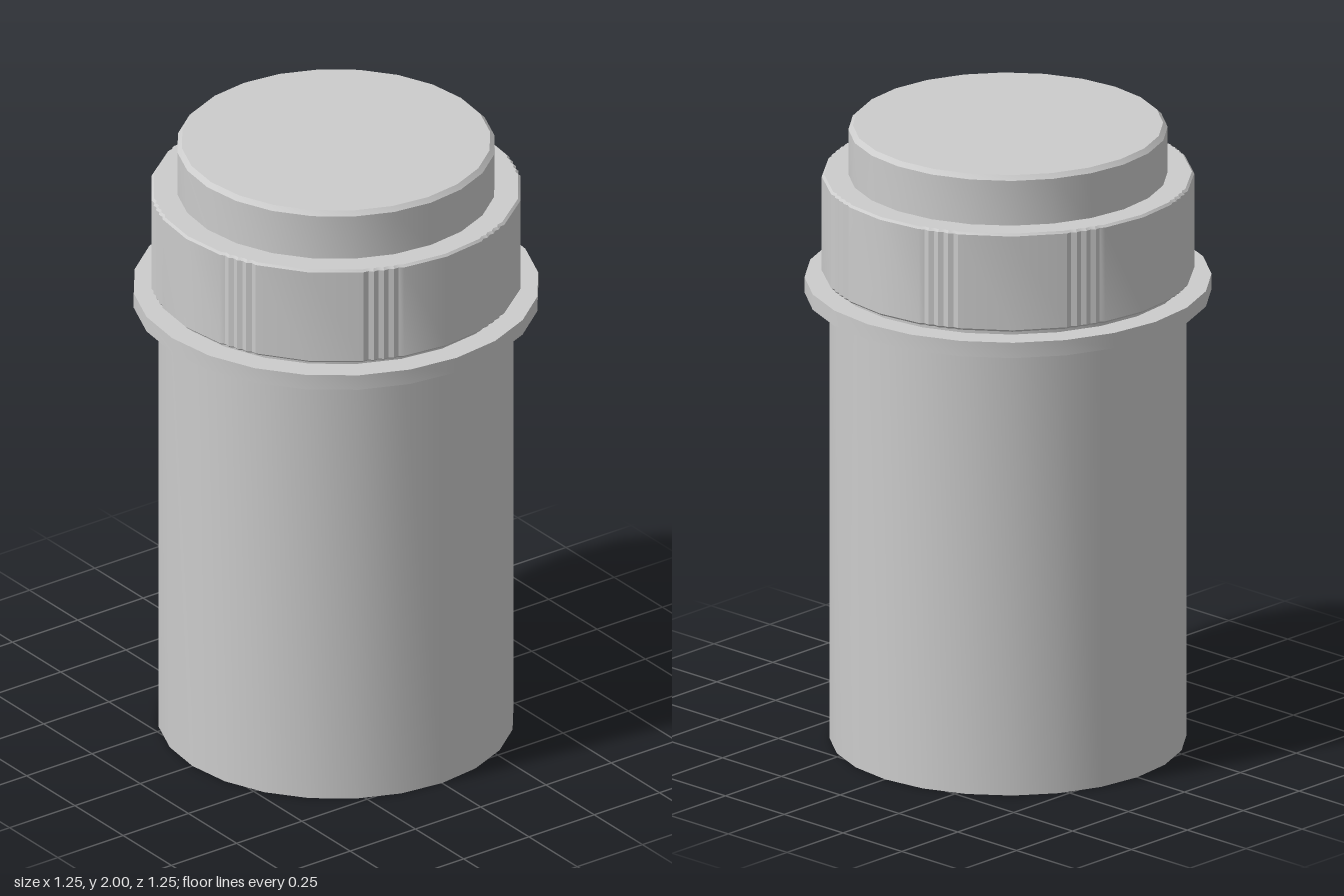
import * as THREE from 'three';
import { toCreasedNormals } from 'three/addons/utils/BufferGeometryUtils.js';

const SIDES = 24;
const material = new THREE.MeshStandardMaterial({ color: 0xcccccc });

function addMesh(group, name, geometry) {
  const mesh = new THREE.Mesh(toCreasedNormals(geometry, 0.5), material);
  mesh.name = name;
  group.add(mesh);
}

// Turned part; the profile runs from the bottom axis outward and up
function turned(profile) {
  return new THREE.LatheGeometry(profile.map(([r, y]) => new THREE.Vector2(r, y)), SIDES);
}

// Cap outline: plain facets with eight groups of shallow grip ribs
function capOutline() {
  const R = 0.574, ribDepth = 0.006, ribSteps = 8;
  const points = [];
  const add = (deg, r) => {
    const a = THREE.MathUtils.degToRad(deg);
    points.push(new THREE.Vector2(r * Math.cos(a), r * Math.sin(a)));
  };
  for (let quarter = 0; quarter < 360; quarter += 90) {
    add(quarter, R);
    for (const start of [15, 62]) {
      for (let i = 0; i <= ribSteps; i++) {
        add(quarter + start + (13 * i) / ribSteps, i % 2 ? R - ribDepth : R);
      }
      if (start === 15) add(quarter + 45, R);
    }
  }
  return new THREE.Shape(points);
}

export function createModel() {
  const model = new THREE.Group();
  model.name = 'container';

  // Cylindrical body with a recessed underside
  addMesh(model, 'body', turned([
    [0, 0.08], [0.515, 0.08], [0.515, 0], [0.55, 0], [0.55, 1.53], [0, 1.53],
  ]));

  // Thin collar below the cap
  addMesh(model, 'flange', turned([
    [0.54, 1.455], [0.627, 1.455], [0.627, 1.505], [0.54, 1.505],
  ]));

  // Ribbed cap with softened rims
  const bevel = 0.007;
  const cap = new THREE.ExtrudeGeometry(capOutline(), {
    depth: 0.32 - 2 * bevel,
    bevelSize: bevel,
    bevelThickness: bevel,
    bevelOffset: -bevel,
    bevelSegments: 1,
  });
  cap.rotateX(-Math.PI / 2).translate(0, 1.52 + bevel, 0);
  addMesh(model, 'cap', cap);

  // Raised top with a chamfered edge
  addMesh(model, 'capTop', turned([
    [0.492, 1.83], [0.492, 1.986], [0.478, 2], [0, 2],
  ]));

  return model;
}
